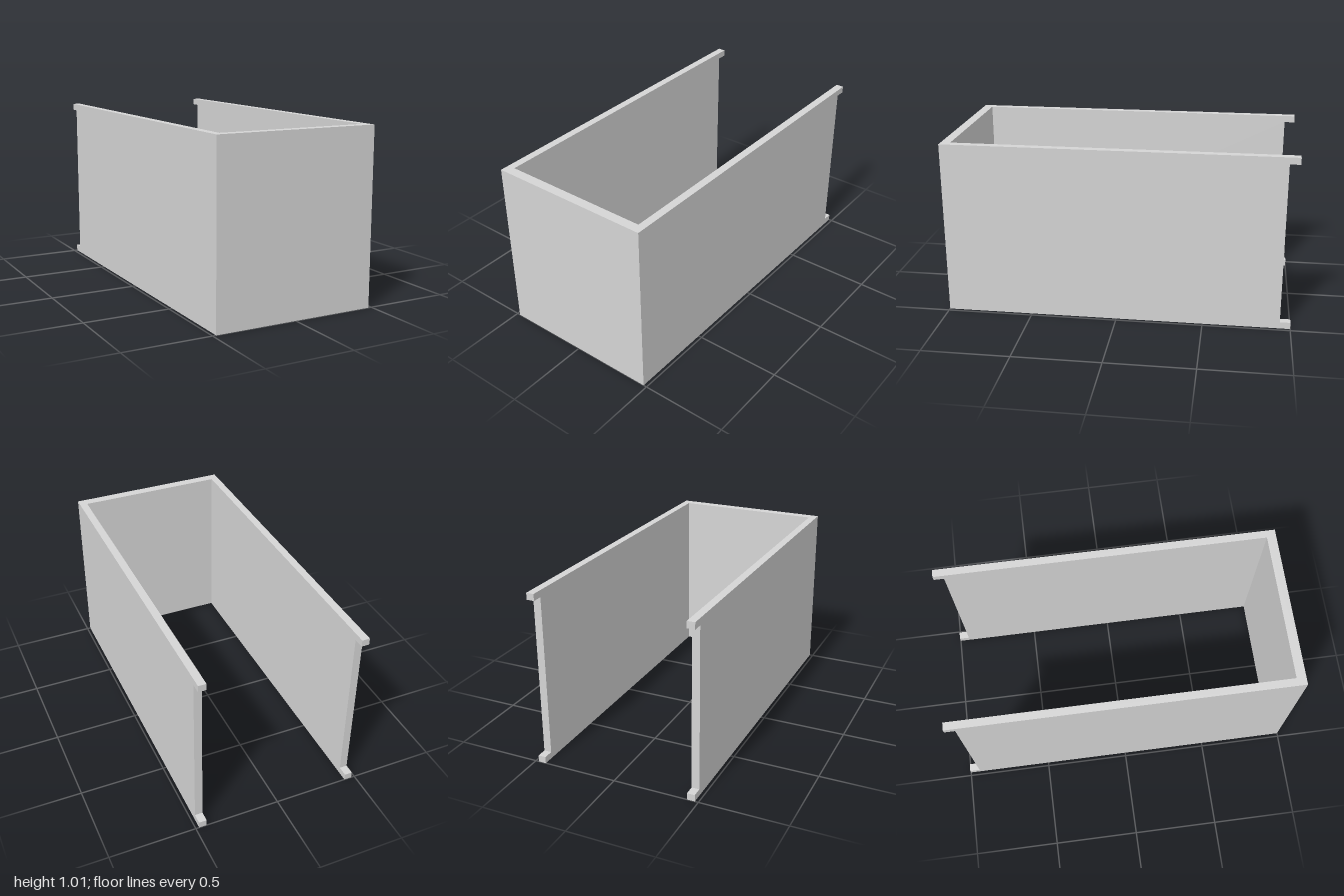
import * as THREE from 'three';

const WIDTH = 0.96, HEIGHT = 1.015, WALL = 0.045, FRONT = 0.055, TAB = 0.039;

export function createModel() {
  const group = new THREE.Group();
  group.name = 'threeSidedSleeve';
  const grey = new THREE.MeshStandardMaterial({ color: 0xd5d5d5 });
  grey.name = 'lightGrey';

  // Side wall profile (z, y): the rear edge is cut back between two corner tabs
  const profile = new THREE.Shape([
    [1, 0], [1, HEIGHT], [-1, HEIGHT], [-1, HEIGHT - TAB],
    [-0.94, HEIGHT - TAB], [-0.94, TAB], [-1, TAB], [-1, 0],
  ].map(([z, y]) => new THREE.Vector2(z, y)));
  const wallGeometry = new THREE.ExtrudeGeometry(profile, { depth: WALL, bevelEnabled: false });
  wallGeometry.translate(0, 0, -WALL / 2).rotateY(-Math.PI / 2);

  for (const [name, side] of [['leftWall', 1], ['rightWall', -1]]) {
    const wall = new THREE.Mesh(wallGeometry, grey);
    wall.name = name;
    wall.position.x = side * (WIDTH - WALL) / 2;
    group.add(wall);
  }

  // Front panel fitted between the side walls
  const panel = new THREE.Mesh(new THREE.BoxGeometry(WIDTH - 2 * WALL, HEIGHT, FRONT), grey);
  panel.name = 'frontPanel';
  panel.position.set(0, HEIGHT / 2, 1 - FRONT / 2);
  group.add(panel);

  return group;
}
